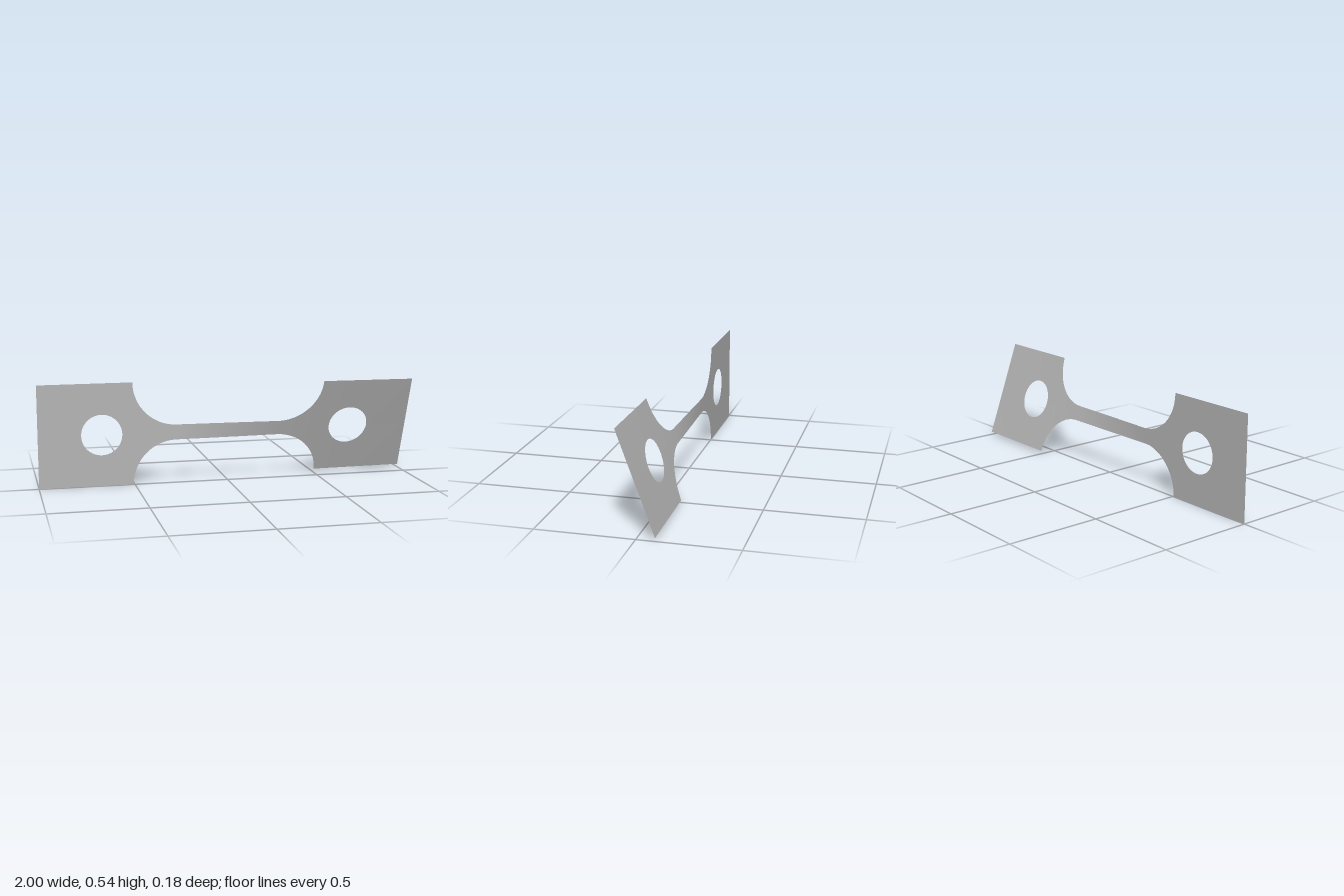
import * as THREE from 'three';

const HALF = 0.2715;   // half height of the end tabs
const NECK = 0.04;     // half height of the middle strip
const FILLET = HALF - NECK;
const FILLET_X = 0.275; // where the fillet meets the strip
const HOLE_X = 0.67, HOLE_R = 0.107;

// Twist angle (degrees) along x: flat at the left, turned at the right
const TWIST = [[-1, 0], [-0.27, 0], [0.27, 16.8], [0.5, 18.7], [1, 19.9]];
function twistAt(x) {
  for (let i = 1; i < TWIST.length; i++) {
    const [x0, a0] = TWIST[i - 1], [x1, a1] = TWIST[i];
    if (x <= x1) return THREE.MathUtils.degToRad(a0 + (a1 - a0) * (x - x0) / (x1 - x0));
  }
  return THREE.MathUtils.degToRad(19.9);
}

// Columns across the plate: x, outer half height, inner half height (hole)
function makeColumns() {
  const half = [{ x: -1, outer: HALF, inner: 0 }];
  for (let i = 0; i <= 40; i++) {
    const t = Math.PI * i / 40;
    half.push({ x: -HOLE_X - HOLE_R * Math.cos(t), outer: HALF, inner: HOLE_R * Math.sin(t) });
  }
  for (let i = 0; i <= 24; i++) {
    const t = Math.PI / 2 * i / 24;
    half.push({ x: -FILLET_X - FILLET * Math.cos(t), outer: HALF - FILLET * Math.sin(t), inner: 0 });
  }
  for (let i = 1; i < 12; i++) {
    half.push({ x: -FILLET_X * (1 - i / 12), outer: NECK, inner: 0 });
  }
  const mirrored = half.map((c) => ({ ...c, x: -c.x })).reverse();
  return [...half, { x: 0, outer: NECK, inner: 0 }, ...mirrored];
}

// Twisted sheet made of an upper and a lower strip around the holes
function twistedSheet() {
  const columns = makeColumns(), positions = [], index = [];
  for (const { x, outer, inner } of columns) {
    const a = twistAt(x);
    for (const v of [-outer, -inner, inner, outer]) {
      positions.push(x, HALF + v * Math.cos(a), v * Math.sin(a));
    }
  }
  for (let i = 0; i < columns.length - 1; i++) {
    for (const row of [0, 2]) {
      const a = i * 4 + row, b = a + 4;
      index.push(a, b, b + 1, a, b + 1, a + 1);
    }
  }
  const geometry = new THREE.BufferGeometry();
  geometry.setAttribute('position', new THREE.Float32BufferAttribute(positions, 3));
  geometry.setIndex(index);
  geometry.computeVertexNormals();
  return geometry;
}

export function createModel() {
  const group = new THREE.Group();
  group.name = 'twistedTestStrip';
  const metal = new THREE.MeshStandardMaterial({ color: 0xb4b4b4, side: THREE.DoubleSide });
  metal.name = 'plain grey';
  const plate = new THREE.Mesh(twistedSheet(), metal);
  plate.name = 'twistedPlate';
  group.add(plate);
  return group;
}
